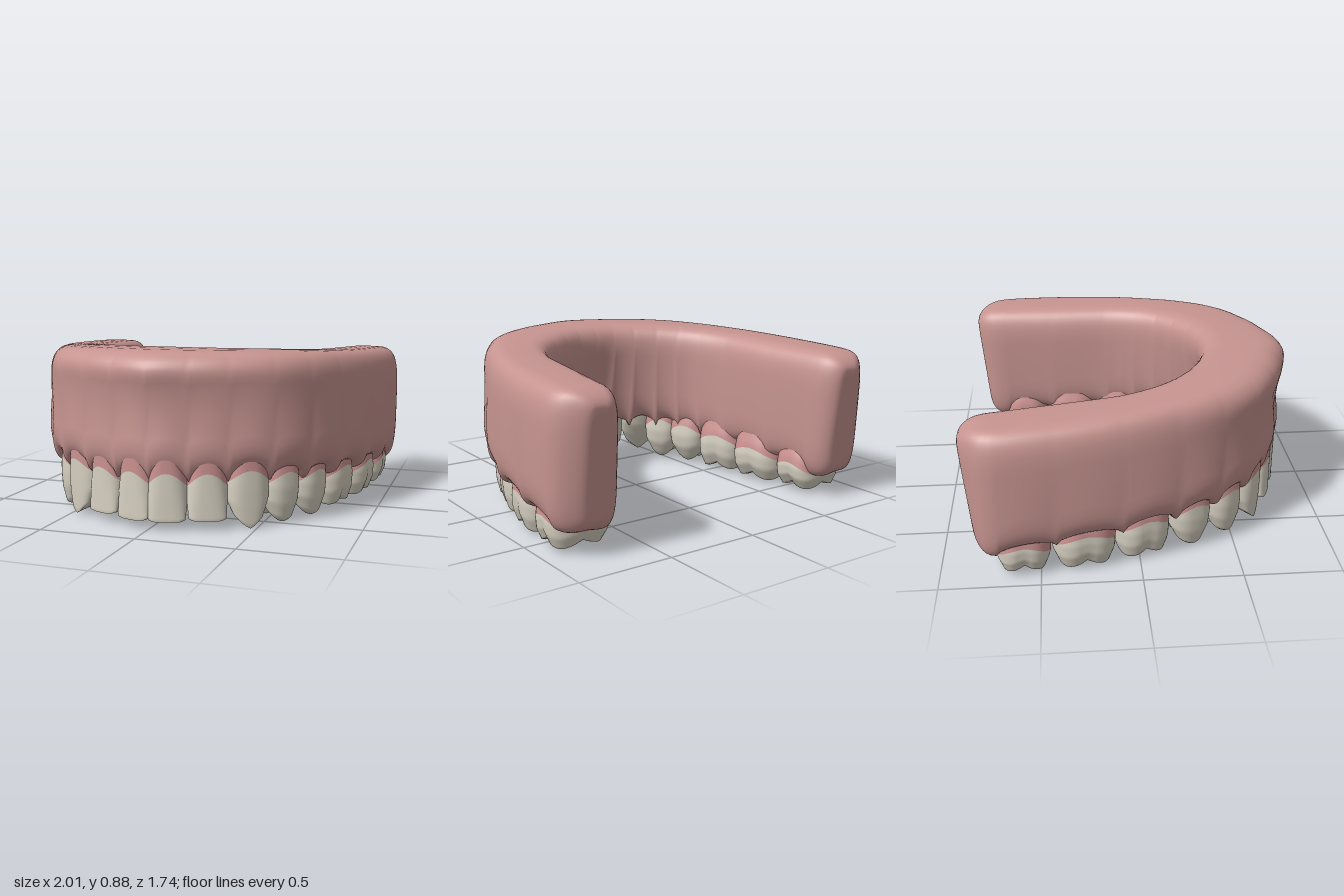
import * as THREE from 'three';

const flat = (name, color, side = THREE.FrontSide) => {
  const m = new THREE.MeshStandardMaterial({ color, side });
  m.name = name;
  return m;
};

const { lerp, clamp } = THREE.MathUtils;
const sample = (arr, v) => {
  const p = clamp(v, 0, 1) * (arr.length - 1), i = Math.min(Math.floor(p), arr.length - 2);
  return lerp(arr[i], arr[i + 1], p - i);
};
const bell = (x, mid, width) => Math.exp(-(((x - mid) / width) ** 2));
const power = (x, n) => Math.sign(x) * Math.abs(x) ** (2 / n);

// Smooth skin over a list of closed rings
function skin(rings) {
  const n = rings[0].length, index = [];
  for (let i = 0; i < rings.length - 1; i++) {
    for (let j = 0; j < n; j++) {
      const a = i * n + j, b = i * n + (j + 1) % n;
      index.push(a, a + n, b + n, a, b + n, b);
    }
  }
  const g = new THREE.BufferGeometry();
  g.setAttribute('position', new THREE.Float32BufferAttribute(rings.flat(2), 3));
  g.setIndex(index);
  g.computeVertexNormals();
  return g;
}

// Arch outlines: whole steps are the gaps between teeth, 0 is the midline, 9 the rear end
const OUTER = [[0, .864], [.2, .818], [.39, .742], [.585, .615], [.73, .43], [.838, .2], [.93, -.09], [.985, -.42], [.997, -.71], [.93, -.87]];
const INNER = [[0, .37], [.11, .363], [.22, .322], [.33, .255], [.42, .175], [.495, .07], [.552, -.09], [.597, -.42], [.635, -.71], [.65, -.87]];
const archCurve = half => new THREE.CatmullRomCurve3(
  [...half.slice(1).reverse().map(([x, z]) => [-x, z]), ...half].map(([x, z]) => new THREE.Vector3(x, 0, z)),
  false, 'catmullrom', 0.5);
const outer = archCurve(OUTER), inner = archCurve(INNER);
const at = (curve, t) => curve.getPoint((t + 9) / 18);

// Gum edge height: peaks over the teeth, dips in the gaps
const PEAK = [.268, .268, .288, .278, .265, .25, .222, .186];
const DIP = [.21, .21, .22, .22, .21, .2, .185, .165, .125, .12];
function gumEdge(t) {
  const k = Math.min(Math.floor(t), 8), f = t - k;
  const rise = k < 8 ? PEAK[k] - (DIP[k] + DIP[k + 1]) / 2 : 0;
  return lerp(DIP[k], DIP[k + 1], f) + rise * Math.sqrt(Math.max(0, Math.sin(Math.PI * f)));
}

function gumRing(t, shrink) {
  const s = Math.abs(t), e = Math.max(0, s - 8), round = Math.sqrt(Math.max(0, 1 - e * e));
  const o = at(outer, t), i = at(inner, t);
  const mid = o.clone().add(i).multiplyScalar(.5), half = o.clone().sub(i).multiplyScalar(.5);
  const dir = half.clone().normalize();
  const top = .81 + .067 * (o.z + .8) / 1.6, low = gumEdge(s);
  const cy = (top + low) / 2, H = (top - low) / 2;
  const front = Math.max(0, 1 - s / 5.5);
  const root = s < 8 ? Math.abs(Math.sin(Math.PI * s)) : 0;
  const ring = [];
  for (let j = 0; j < 52; j++) {
    const a = j / 52 * Math.PI * 2;
    const w = power(Math.cos(a), 4.3), h = power(Math.sin(a), 4.3);
    let push = 0;
    if (w > 0) {
      push = w * (front * (.022 * bell(h, .75, .25) - .034 * bell(h, .05, .45) - .008 * bell(h, -.7, .4))
        - .012 * bell(s, 5, 1.8) * h + .007 * (root - .5) * bell(h, -.55, .6));
    } else push = -w * (front * .17 + .004 * (root - .5)) * ((1 - h) / 2) ** 1.4;
    const p = mid.clone().addScaledVector(half, w * shrink * (.45 + .55 * round)).addScaledVector(dir, push * shrink);
    const lip = .03 * Math.max(0, -w) * Math.max(0, -h) * round * (1 - front);
    ring.push([p.x, cy + H * h * shrink * (.76 + .24 * round) - lip, p.z + .05 * e * (1 - h * shrink) / 2]);
  }
  return ring;
}

function buildGum() {
  const end = [];
  for (let j = 1; j <= 8; j++) end.push([8 + Math.sin(j / 8 * Math.PI / 2), 1]);
  end.push([9, .85], [9, .5], [9, 0]);
  const steps = end.map(([t, s]) => [-t, s]).reverse();
  for (let j = -96; j <= 96; j++) steps.push([j / 12, 1]);
  steps.push(...end);
  return skin(steps.map(([t, s]) => gumRing(t, s)));
}

// Tooth families: width and depth from tip to root, lean to the outer face, biting surface
const cusp = x => Math.abs(Math.sin(Math.PI * .78 * x));
const KIND = {
  incisor: { w: [.92, .98, 1, .95, .85], d: [.25, .48, .75, .95, 1], lean: 1, bite: (x) => .012 * x ** 4 },
  canine: { w: [.68, .95, 1, .95, .84], d: [.35, .62, .85, .97, 1], lean: .9, bite: (x, z) => .06 * Math.abs(x) ** 1.2 + .012 * (1 - z) },
  premolar: { w: [.66, .94, 1, .95, .84], d: [.75, .95, 1, .96, .86], lean: .35, bite: (x, z) => .055 * Math.abs(x) ** 1.6 + .05 * (1 - cusp(z)) + .008 * (1 - z) },
  molar: { w: [.82, .97, 1, .95, .86], d: [.8, .97, 1, .96, .86], lean: .2, groove: .09, bite: (x, z) => .036 * (1 - cusp(x) * cusp(z)) },
};
// margin is the height where ivory meets gum at the middle of the tooth
const TEETH = [
  { name: 'centralIncisor', kind: 'incisor', tip: .045, margin: .288, depth: .23, inset: .02 },
  { name: 'lateralIncisor', kind: 'incisor', tip: .05, margin: .286, depth: .23, inset: .022 },
  { name: 'canine', kind: 'canine', tip: .005, margin: .295, depth: .26, inset: .027 },
  { name: 'firstPremolar', kind: 'premolar', tip: .002, margin: .268, depth: .29, inset: .04 },
  { name: 'secondPremolar', kind: 'premolar', tip: 0, margin: .25, depth: .3, inset: .05 },
  { name: 'firstMolar', kind: 'molar', tip: .018, margin: .228, depth: .33, inset: .05 },
  { name: 'secondMolar', kind: 'molar', tip: .015, margin: .206, depth: .36, inset: .045 },
  { name: 'thirdMolar', kind: 'molar', tip: .025, margin: .178, depth: .345, inset: .045 },
];

function toothGeometries(spec, halfW) {
  const kind = KIND[spec.kind], D = spec.depth / 2, top = spec.margin + .08, N = 44;
  const margin = x => spec.margin - .07 * x * x;
  const ring = (r, yAt) => {
    const pts = [];
    for (let j = 0; j < N; j++) {
      const a = j / N * Math.PI * 2;
      const x = power(Math.cos(a), 2.7), z = power(Math.sin(a), 2.7);
      const base = spec.tip + kind.bite(x, z);
      const y = yAt(x, base, spec.tip + kind.bite(x * r, z * r));
      const v = r < 1 ? 0 : (y - base) / (top - base);
      const sd = sample(kind.d, v);
      const groove = 1 - (kind.groove || 0) * bell(x, 0, .22) * (1 - v);
      pts.push([halfW * sample(kind.w, v) * x * r, y, -D * lerp(1, sd, kind.lean) + D * sd * z * r * groove]);
    }
    return pts;
  };
  const crown = [], collar = [];
  for (let j = 0; j <= 7; j++) crown.push(ring(j / 8, (x, base, bite) => bite));
  for (let j = 0; j <= 12; j++) crown.push(ring(1, (x, base) => lerp(base, margin(x), j / 12)));
  for (let j = 0; j <= 4; j++) collar.push(ring(1, x => lerp(margin(x), top, j / 4)));
  return { crown: skin(crown), collar: skin(collar) };
}

export function createModel() {
  const gumPink = flat('gum pink', 0xc69490);
  const collarPink = flat('gum margin pink', 0xcb9290, THREE.DoubleSide);
  const ivory = flat('tooth ivory', 0xd6d0c1);
  const model = new THREE.Group();
  model.name = 'upperDenture';
  const add = (parent, name, geometry, material) => {
    const m = new THREE.Mesh(geometry, material);
    m.name = name;
    parent.add(m);
  };

  add(model, 'gumBase', buildGum(), gumPink);

  // Eight teeth per side, each facing outward along the arch
  const frame = (t, inset) => {
    const T = at(outer, t + .05).sub(at(outer, t - .05)).normalize();
    const p = at(outer, t).add(new THREE.Vector3(T.z, 0, -T.x).multiplyScalar(inset));
    return { p, turn: Math.atan2(-T.z, T.x) };
  };
  TEETH.forEach((spec, k) => {
    const { p, turn } = frame(k + .5, spec.inset);
    const width = frame(k, spec.inset).p.distanceTo(frame(k + 1, spec.inset).p);
    const { crown, collar } = toothGeometries(spec, width * .505);
    for (const side of [1, -1]) {
      const tooth = new THREE.Group();
      tooth.name = (side > 0 ? 'left_' : 'right_') + spec.name;
      tooth.position.set(side * p.x, 0, p.z);
      tooth.rotation.y = side * turn;
      add(tooth, 'crown', crown, ivory);
      add(tooth, 'gumCollar', collar, collarPink);
      model.add(tooth);
    }
  });
  return model;
}
